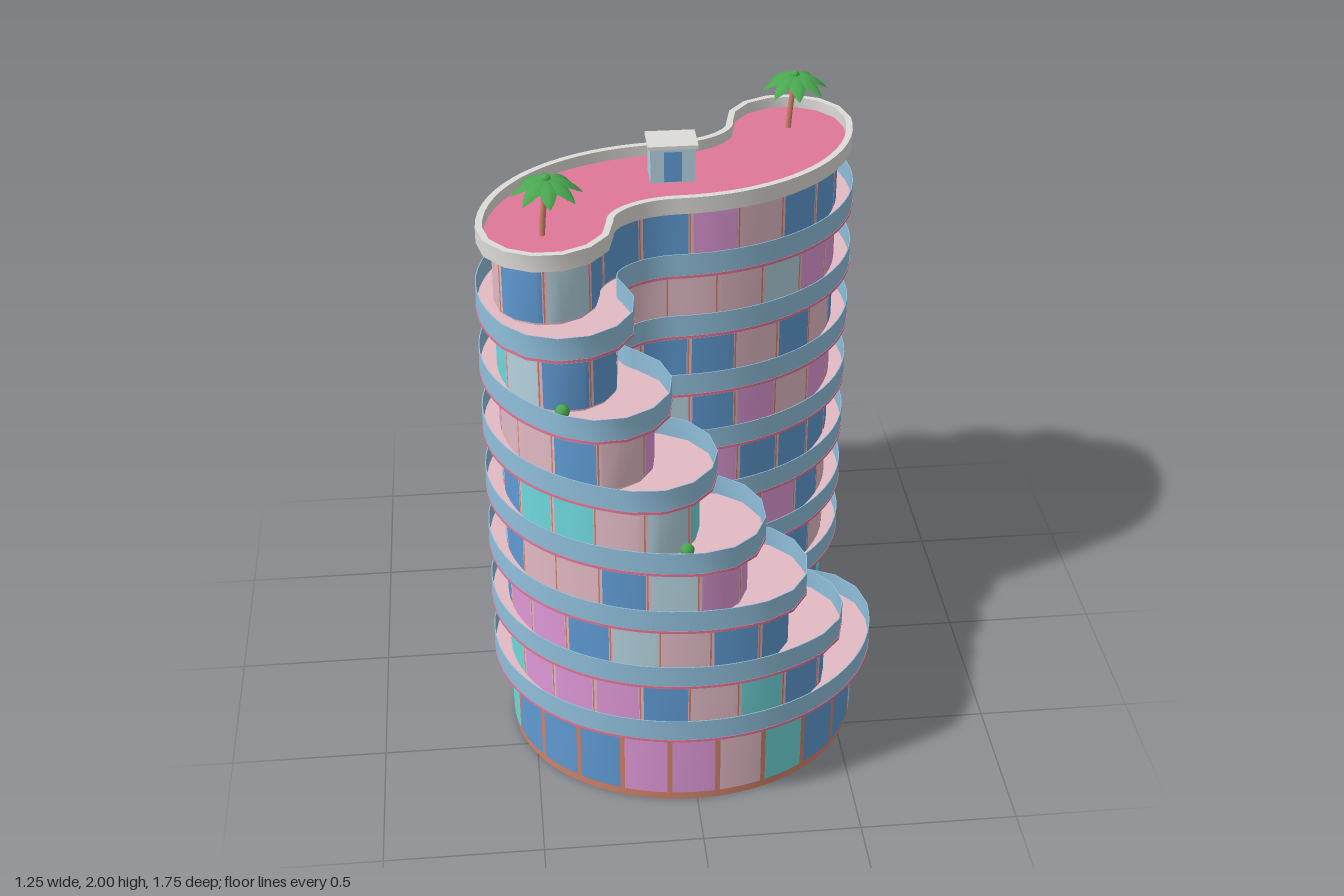
import * as THREE from 'three';
import { mergeGeometries, toCreasedNormals } from 'three/addons/utils/BufferGeometryUtils.js';

const mat = (name, color, side = THREE.FrontSide) => {
  const m = new THREE.MeshStandardMaterial({ color, side });
  m.name = name;
  return m;
};
const RAD = Math.PI / 180;

export function createModel() {
  const M = {
    D: mat('dusty pink wall', 0xe2bac4),
    terracotta: mat('terracotta', 0xd0826a),
    B: mat('blue glass', 0x5f9ad2),
    L: mat('pale glass', 0xb4d2de),
    T: mat('turquoise glass', 0x6fd8dc),
    P: mat('lilac glass', 0xde98d6),
    rail: mat('balcony blue', 0x90bfdb),
    concrete: mat('roof concrete', 0xdedcd7),
    roof: mat('roof pink', 0xe07898),
    green: mat('palm green', 0x4aa850, THREE.DoubleSide),
  };
  const group = new THREE.Group();
  const add = (name, geo, material, parent = group) => {
    const mesh = new THREE.Mesh(geo, material);
    mesh.name = name;
    parent.add(mesh);
    return mesh;
  };
  let seed = 11;
  const rand = () => (seed = (seed * 16807) % 2147483647) / 2147483647;

  // Centreline of one arm: a point on a half ellipse with its unit normal
  const A = 0.41, C = 0.33;
  const armPoint = deg => {
    const f = deg * RAD, tx = A * Math.sin(f), tz = C * Math.cos(f), l = Math.hypot(tx, tz);
    return { x: -A * Math.cos(f), z: C + C * Math.sin(f), nx: tz / l, nz: -tx / l };
  };

  // S-shaped outline: two arms, the second turned by half a circle, with round ends
  function outline(hw, endDeg) {
    const steps = Math.round((endDeg + 90) / 5);
    const half = [];
    for (let i = 0; i <= steps; i++) half.push(armPoint(-90 + (endDeg + 90) * i / steps));
    const path = [
      ...half.slice(1).reverse().map(p => ({ ...p, x: -p.x, z: -p.z })),
      ...half,
    ];
    const pts = [];
    const CAP = 7;
    for (const s of [1, -1]) {
      const run = s > 0 ? path : path.slice().reverse();
      for (const p of run) pts.push([p.x + s * hw * p.nx, p.z + s * hw * p.nz]);
      const e = run[run.length - 1];
      for (let i = 1; i < CAP; i++) {
        const a = Math.PI * i / CAP, c = Math.cos(a) * hw * s, d = Math.sin(a) * hw * s;
        pts.push([e.x + c * e.nx - d * e.nz, e.z + c * e.nz + d * e.nx]);
      }
    }
    return pts;
  }

  const vec = pts => pts.map(([x, z]) => new THREE.Vector2(x, -z));
  function slab(hw, endDeg, y0, y1, holeHw) {
    const shape = new THREE.Shape(vec(outline(hw, endDeg)));
    if (holeHw) shape.holes.push(new THREE.Path(vec(outline(holeHw, endDeg)).reverse()));
    const g = new THREE.ExtrudeGeometry(shape, { depth: y1 - y0, bevelEnabled: false });
    g.rotateX(-Math.PI / 2).translate(0, y0, 0);
    return toCreasedNormals(g, 0.6);
  }

  // Thin curved plate following the outline between two distances
  function plate(pts, cum, s0, s1, y0, y1) {
    const n = pts.length, at = s => {
      let i = 0;
      while (cum[i + 1] < s) i++;
      const k = (s - cum[i]) / (cum[i + 1] - cum[i]), a = pts[i % n], b = pts[(i + 1) % n];
      return [a[0] + (b[0] - a[0]) * k, a[1] + (b[1] - a[1]) * k];
    };
    const line = [at(s0)];
    for (let i = 0; i < 2 * n; i++) if (cum[i] > s0 + 1e-4 && cum[i] < s1 - 1e-4) line.push(pts[i % n]);
    line.push(at(s1));
    const pos = [], idx = [];
    line.forEach(([x, z], i) => {
      pos.push(x, y0, z, x, y1, z);
      const b = i * 2;
      if (i) idx.push(b, b - 2, b - 1, b, b - 1, b + 1);
    });
    const g = new THREE.BufferGeometry();
    g.setAttribute('position', new THREE.Float32BufferAttribute(pos, 3));
    g.setIndex(idx);
    g.computeVertexNormals();
    const a = line[0], b = line[line.length - 1], l = Math.hypot(b[0] - a[0], b[1] - a[1]);
    return { g, x: (a[0] + b[0]) / 2, z: (a[1] + b[1]) / 2, nx: (b[1] - a[1]) / l, nz: -(b[0] - a[0]) / l };
  }

  // Glazing colours by floor: along x for the front, from front to back for the +x side
  const FRONT = ['BBBBPPPPPDDTTBBB', 'TPPPPBBBDDTTBBBB', 'PPBBLLDDBBBBPPDB', 'BDDDBBLLPPBBBBBB',
    'BTTDDLLLBBBPPDBB', 'DDBBDDBBBBBDDBBD', 'LLBBDDDDDDDDLLPB', 'BBLLBBBBBPPDDBBB'];
  const SIDE = ['TBBLLBTBBTTBPPDD', 'TBBBPLLBBDDBBPPB', 'BPPDBBDBBDBBDPPB', 'BPBBPPDPDBBDPPDB',
    'TTDBDLBDPDPPBBBB', 'PPPDBBLPDDBBDPPB', 'BBBPPBBLPPDBBPPB', 'BBBBBBBBDBBDPPDB'];
  const SHIFT = [0, 0.105, 0, 0.085, 0.05, 0, 0, 0];
  function glazing(floor, endDeg, y0, y1, parent) {
    const pts = outline(0.159, endDeg), n = pts.length, cum = [0];
    for (let i = 0; i < 2 * n; i++) {
      const p = pts[i % n], q = pts[(i + 1) % n];
      cum.push(cum[i] + Math.hypot(q[0] - p[0], q[1] - p[1]));
    }
    const count = Math.round(cum[n] / 0.155), w = cum[n] / count;
    const sets = { B: [], L: [], T: [], P: [], D: [] }, mullions = [];
    const pick = (s, t) => s[Math.min(s.length - 1, Math.max(0, Math.floor(t * s.length)))];
    for (let i = 0; i < count; i++) {
      const s = i * w + SHIFT[floor];
      const p = plate(pts, cum, s + 0.008, s + w - 0.008, y0, y1);
      const any = pick('BBBBDDDPPLT', rand());
      const key = p.nx > 0.5 && p.nx > p.nz ? pick(SIDE[floor], (0.8 - p.z) / 1.6)
        : p.nz > 0.25 ? pick(FRONT[floor], (p.x + 0.565) / 1.13) : any;
      sets[key].push(p.g);
      if (floor) mullions.push(plate(pts, cum, s, s + 0.005, y0, y1).g);
    }
    const names = { B: 'blueWindows', L: 'paleWindows', T: 'turquoiseWindows', P: 'lilacWindows', D: 'blankPanels' };
    for (const k in sets) if (sets[k].length) add(names[k], mergeGeometries(sets[k]), M[k], parent);
    if (mullions.length) add('mullions', mergeGeometries(mullions), M.terracotta, parent);
  }

  // Storeys: the arms get shorter with height, leaving stepped terraces
  const ENDS = [180, 132, 111, 91, 70, 49, 26, 0];
  const STEP = 0.214, BASE = 0.285;
  ENDS.forEach((end, k) => {
    const storey = new THREE.Group();
    storey.name = 'storey' + (k + 1);
    group.add(storey);
    const top = BASE + k * STEP, bottom = k ? top - STEP + 0.015 : 0;
    add('wall', slab(0.155, end, bottom, top, 0), k ? M.D : M.terracotta, storey);
    glazing(k, end, bottom + (k ? 0.01 : 0.03), top - (k ? 0.018 : 0.033), storey);
    if (k < 7) {
      add('terraceSlab', slab(0.21, end, top, top + 0.017), M.D, storey);
      add('slabLip', slab(0.2135, end, top + 0.003, top + 0.012, 0.208), M.roof, storey);
      add('balconyRail', slab(0.212, end, top + 0.012, top + 0.085, 0.209), M.rail, storey);
    }
    // Bush under the overhang at the end of an arm, on alternate arms
    if (k > 1 && k < 7) {
      const e = armPoint(ENDS[k + 1]), a = 37 * RAD, side = k % 2 ? 1 : -1;
      const c = 0.18 * Math.cos(a), d = 0.18 * Math.sin(a);
      const bush = new THREE.SphereGeometry(0.022, 10, 8);
      bush.translate(side * (e.x - c * e.nz - d * e.nx), top + 0.037, side * (e.z + c * e.nx - d * e.nz));
      add('terraceBush', bush, M.green, storey);
    }
  });

  // Roof deck and parapet
  add('roofSlab', slab(0.198, 0, 1.784, 1.796), M.concrete);
  add('roofDeck', slab(0.185, 0, 1.794, 1.804), M.roof);
  add('roofParapet', slab(0.203, 0, 1.788, 1.84, 0.182), M.concrete);

  // Stair house on the roof
  const house = new THREE.Group();
  house.name = 'stairHouse';
  house.position.set(0, 1.8, -0.03);
  group.add(house);
  const box = (name, w, h, d, x, y, z, m) => add(name, new THREE.BoxGeometry(w, h, d).translate(x, y, z), m, house);
  box('houseBody', 0.14, 0.12, 0.1, 0, 0.06, 0, M.L);
  box('houseCap', 0.155, 0.012, 0.118, 0, 0.124, 0, M.concrete);
  box('houseDoor', 0.055, 0.1, 0.006, 0, 0.058, 0.051, M.B);

  // Palm frond: folded leaf that arches and droops
  function frond() {
    const pos = [], idx = [], N = 6;
    for (let i = 0; i <= N; i++) {
      const t = i / N, r = 0.108 * t, y = 0.035 * t - 0.085 * t * t;
      const w = 0.005 + 0.025 * Math.sin(Math.PI * Math.pow(t, 0.8)) * (1 - 0.2 * t);
      const hw = i === N ? 0 : w;
      pos.push(r, y - hw * 0.6, -hw, r, y, 0, r, y - hw * 0.6, hw);
      const b = i * 3;
      if (i) for (const j of [0, 1]) idx.push(b - 3 + j, b - 2 + j, b + j, b + j, b - 2 + j, b + 1 + j);
    }
    const g = new THREE.BufferGeometry();
    g.setAttribute('position', new THREE.Float32BufferAttribute(pos, 3));
    g.setIndex(idx);
    g.computeVertexNormals();
    return g;
  }
  const palm = (x, z, turn) => {
    const p = new THREE.Group();
    p.name = 'palm';
    p.position.set(x, 1.8, z);
    group.add(p);
    const curve = new THREE.CatmullRomCurve3([
      new THREE.Vector3(-0.018, 0, 0), new THREE.Vector3(-0.012, 0.08, 0), new THREE.Vector3(0, 0.185, 0)]);
    add('palmTrunk', new THREE.TubeGeometry(curve, 8, 0.009, 8), M.terracotta, p);
    const leaves = [];
    for (let i = 0; i < 8; i++) leaves.push(frond().rotateY(turn + i * Math.PI / 4).translate(0, 0.185, 0));
    add('palmFronds', mergeGeometries(leaves), M.green, p);
    add('palmCrown', new THREE.SphereGeometry(0.014, 10, 8).translate(0, 0.186, 0), M.green, p);
  };
  palm(0.43, -0.35, 0.0);
  palm(-0.4, 0.33, 0.05);
  return group;
}
